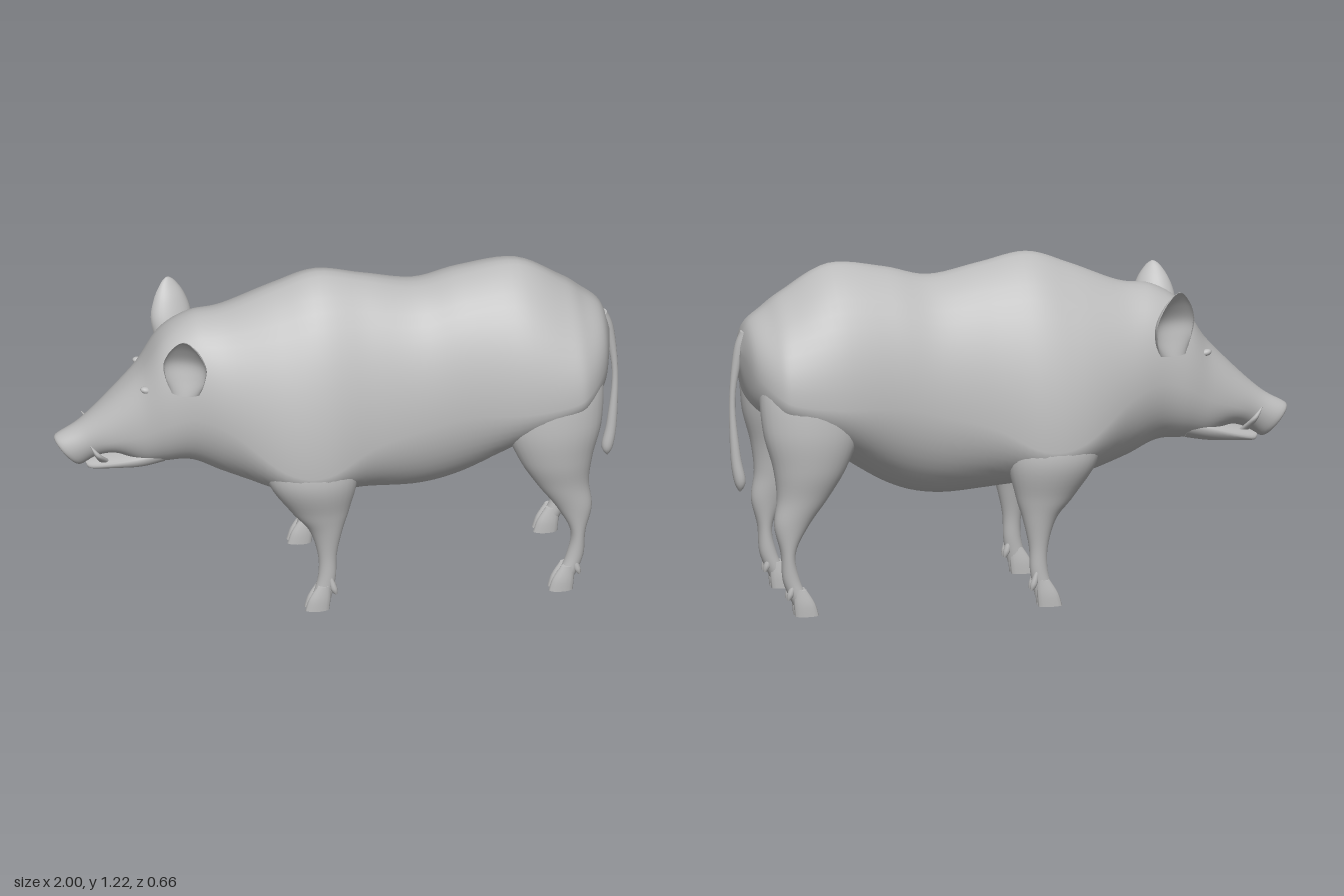
import * as THREE from 'three';

const hide = new THREE.MeshStandardMaterial({ color: 0xbcbcbc });
hide.name = 'grey hide';

// Catmull-Rom resampling of number rows
function resample(rows, steps) {
  const out = [];
  const at = i => rows[Math.max(0, Math.min(rows.length - 1, i))];
  for (let i = 0; i < rows.length - 1; i++) {
    for (let k = 0; k < steps; k++) {
      const t = k / steps, a = at(i - 1), b = at(i), c = at(i + 1), d = at(i + 2);
      out.push(b.map((_, n) => b[n] + 0.5 * t * (c[n] - a[n]
        + t * (2 * a[n] - 5 * b[n] + 4 * c[n] - d[n] + t * (3 * (b[n] - c[n]) + d[n] - a[n])))));
    }
  }
  out.push(rows[rows.length - 1]);
  return out;
}

// Closed skin through rings, with crisp end caps; faces are turned outward by signed volume
function loft(name, rows, ring, steps = 6, sides = 32) {
  const rings = resample(rows, steps).map(r =>
    Array.from({ length: sides }, (_, j) => ring(r, (j / sides) * Math.PI * 2)));
  const pts = rings.flat(), idx = [];
  for (let i = 0; i < rings.length - 1; i++) {
    for (let j = 0; j < sides; j++) {
      const k = (j + 1) % sides, a = i * sides, b = a + sides;
      idx.push(a + j, a + k, b + j, a + k, b + k, b + j);
    }
  }
  [rings[0], rings[rings.length - 1]].forEach((r, end) => {
    const start = pts.length;
    const mid = r.reduce((s, p) => s.add(p), new THREE.Vector3()).divideScalar(sides);
    pts.push(...r, mid);
    for (let j = 0; j < sides; j++) {
      const a = start + j, b = start + (j + 1) % sides;
      idx.push(start + sides, end ? a : b, end ? b : a);
    }
  });
  let volume = 0;
  const cross = new THREE.Vector3();
  for (let i = 0; i < idx.length; i += 3) {
    volume += pts[idx[i]].dot(cross.crossVectors(pts[idx[i + 1]], pts[idx[i + 2]]));
  }
  if (volume < 0) idx.reverse();
  const geo = new THREE.BufferGeometry().setFromPoints(pts);
  geo.setIndex(idx);
  geo.computeVertexNormals();
  const mesh = new THREE.Mesh(geo, hide);
  mesh.name = name;
  return mesh;
}

const bump = (x, centre, width) => Math.exp(-(((x - centre) / width) ** 2));

// Upright section: [x, top, bottom, halfWidth, widestY]; ridged along the back,
// squarer at the head and under the haunches, and leaning back towards the snout
function bodyRing([x, top, bot, w, yw], a) {
  const s = Math.sin(a), c = Math.cos(a);
  const y = yw + s * (s > 0 ? top - yw : yw - bot);
  const power = 1 - 0.22 * bump(x, -0.68, 0.15) + (s > 0
    ? 0.2 * bump(x, -0.1, 0.3) + 0.28 * bump(x, 0.72, 0.25)
    : 0.08 * bump(x, -0.1, 0.3) - 0.35 * bump(x, 0.87, 0.14));
  const lean = 0.8 * THREE.MathUtils.clamp((-0.7 - x) / 0.255, 0, 1) ** 1.5;
  return new THREE.Vector3(x - lean * (y - yw), y, w * Math.sign(c) * Math.abs(c) ** power);
}

// Level section of a limb: [y, x0, x1, z0, z1]
const limbRing = side => ([y, x0, x1, z0, z1], a) => new THREE.Vector3(
  (x0 + x1) / 2 + (x1 - x0) / 2 * Math.cos(a), y,
  side * ((z0 + z1) / 2 + (z1 - z0) / 2 * Math.sin(a)));

// Round section of a thin part: [y, x, z, radius]
const roundRing = side => ([y, x, z, r], a) =>
  new THREE.Vector3(x + r * Math.cos(a), y, side * (z + r * Math.sin(a)));

const torso = [
  [-0.967, 0.612, 0.54, 0.036, 0.576],
  [-0.953, 0.634, 0.52, 0.055, 0.58],
  [-0.88, 0.685, 0.555, 0.072, 0.62],
  [-0.8, 0.765, 0.57, 0.105, 0.65],
  [-0.7, 0.895, 0.535, 0.145, 0.69],
  [-0.62, 1.02, 0.535, 0.175, 0.74],
  [-0.52, 1.085, 0.53, 0.2, 0.77],
  [-0.4, 1.105, 0.475, 0.245, 0.73],
  [-0.22, 1.18, 0.425, 0.317, 0.6],
  [-0.07, 1.228, 0.415, 0.328, 0.58],
  [0.1, 1.195, 0.39, 0.285, 0.66],
  [0.28, 1.16, 0.38, 0.27, 0.71],
  [0.44, 1.197, 0.425, 0.275, 0.75],
  [0.64, 1.22, 0.55, 0.3, 0.76],
  [0.8, 1.13, 0.65, 0.293, 0.78],
  [0.87, 1.075, 0.69, 0.262, 0.81],
  [0.935, 1.02, 0.75, 0.165, 0.87],
  [0.962, 0.94, 0.87, 0.03, 0.92],
];

const lowerJaw = [
  [-0.888, 0.53, 0.512, 0.02, 0.52],
  [-0.865, 0.542, 0.508, 0.05, 0.522],
  [-0.72, 0.6, 0.52, 0.115, 0.57],
  [-0.62, 0.65, 0.535, 0.12, 0.6],
];

const frontLeg = [
  [0.85, -0.2, 0, 0.15, 0.24],
  [0.7, -0.27, 0.03, 0.13, 0.295],
  [0.54, -0.28, 0.045, 0.13, 0.331],
  [0.4, -0.195, 0.016, 0.155, 0.296],
  [0.32, -0.13, -0.008, 0.178, 0.278],
  [0.22, -0.098, -0.03, 0.2, 0.264],
  [0.13, -0.097, -0.034, 0.207, 0.262],
  [0.045, -0.12, -0.05, 0.212, 0.262],
];

const hindLeg = [
  [1.0, 0.66, 0.84, 0.06, 0.18],
  [0.85, 0.57, 0.915, 0.05, 0.27],
  [0.68, 0.565, 0.915, 0.077, 0.298],
  [0.54, 0.615, 0.88, 0.112, 0.288],
  [0.43, 0.68, 0.866, 0.136, 0.264],
  [0.33, 0.752, 0.876, 0.158, 0.248],
  [0.23, 0.8, 0.853, 0.172, 0.238],
  [0.13, 0.784, 0.845, 0.175, 0.234],
  [0.045, 0.745, 0.81, 0.178, 0.236],
];

const tail = [
  [0.99, 0.925, 0, 0.032],
  [0.92, 0.96, 0, 0.021],
  [0.75, 0.985, 0, 0.011],
  [0.55, 0.974, 0, 0.018],
  [0.45, 0.958, 0, 0.021],
  [0.41, 0.957, 0, 0.003],
];

const tusk = [
  [0.565, -0.835, 0.076, 0.018],
  [0.61, -0.86, 0.122, 0.012],
  [0.652, -0.887, 0.124, 0.002],
];

// Cupped ear: [t, halfWidth, depth, front]; a negative front hollows the inner face
const ear = [
  [0, 0.055, 0.05, 0.6],
  [0.25, 0.072, 0.055, -0.1],
  [0.5, 0.078, 0.052, -0.65],
  [0.75, 0.058, 0.038, -0.65],
  [0.93, 0.028, 0.016, -0.5],
  [1, 0.006, 0.004, 0],
];
const earRing = side => ([t, w, d, front], a) => {
  const u = w * Math.cos(a), s = Math.sin(a), n = d * s * (s > 0 ? front : 1);
  return new THREE.Vector3(
    -0.558 - 0.012 * t + 0.92 * u - 0.39 * n,
    0.87 + 0.24 * t,
    side * (0.165 + 0.07 * t + 0.39 * u + 0.92 * n));
};

// Two toes and two dewclaws under a leg; x is the front tip of the hoof
function addHooves(leg, side, x, z0, z1) {
  const mid = (z0 + z1) / 2, half = (z1 - z0) / 2;
  for (const k of [-1, 1]) {
    const c = mid + k * half * 0.46, r = half * 0.54;
    leg.add(loft('toe', [
      [0.1, x + 0.045, x + 0.09, c - r * 0.7, c + r * 0.7],
      [0.05, x + 0.014, x + 0.09, c - r, c + r],
      [0.005, x, x + 0.086, c - r, c + r],
    ], limbRing(side), 4, 14));
    leg.add(loft('dewclaw', [
      [0.14, x + 0.088, c, 0.006],
      [0.09, x + 0.1, c, 0.013],
      [0.065, x + 0.108, c, 0.006],
    ], roundRing(side), 3, 10));
  }
}

export function createModel() {
  const boar = new THREE.Group();
  boar.name = 'boar';
  boar.add(loft('body', torso, bodyRing, 6, 48));
  boar.add(loft('lowerJaw', lowerJaw, bodyRing, 6, 24));
  boar.add(loft('tail', tail, roundRing(1), 6, 14));

  for (const side of [1, -1]) {
    const front = loft('frontLeg', frontLeg, limbRing(side));
    addHooves(front, side, -0.145, 0.206, 0.27);
    const hind = loft('hindLeg', hindLeg, limbRing(side));
    addHooves(hind, side, 0.72, 0.172, 0.242);
    boar.add(front, hind);
    boar.add(loft('ear', ear, earRing(side), 6, 28));
    boar.add(loft('tusk', tusk, roundRing(side), 6, 12));

    // Eye bulge
    const eye = new THREE.Mesh(new THREE.SphereGeometry(1, 16, 12), hide);
    eye.name = 'eye';
    eye.scale.set(0.02, 0.012, 0.014);
    eye.position.set(-0.69, 0.855, side * 0.106);
    eye.rotation.z = -0.25;
    boar.add(eye);
  }
  return boar;
}
